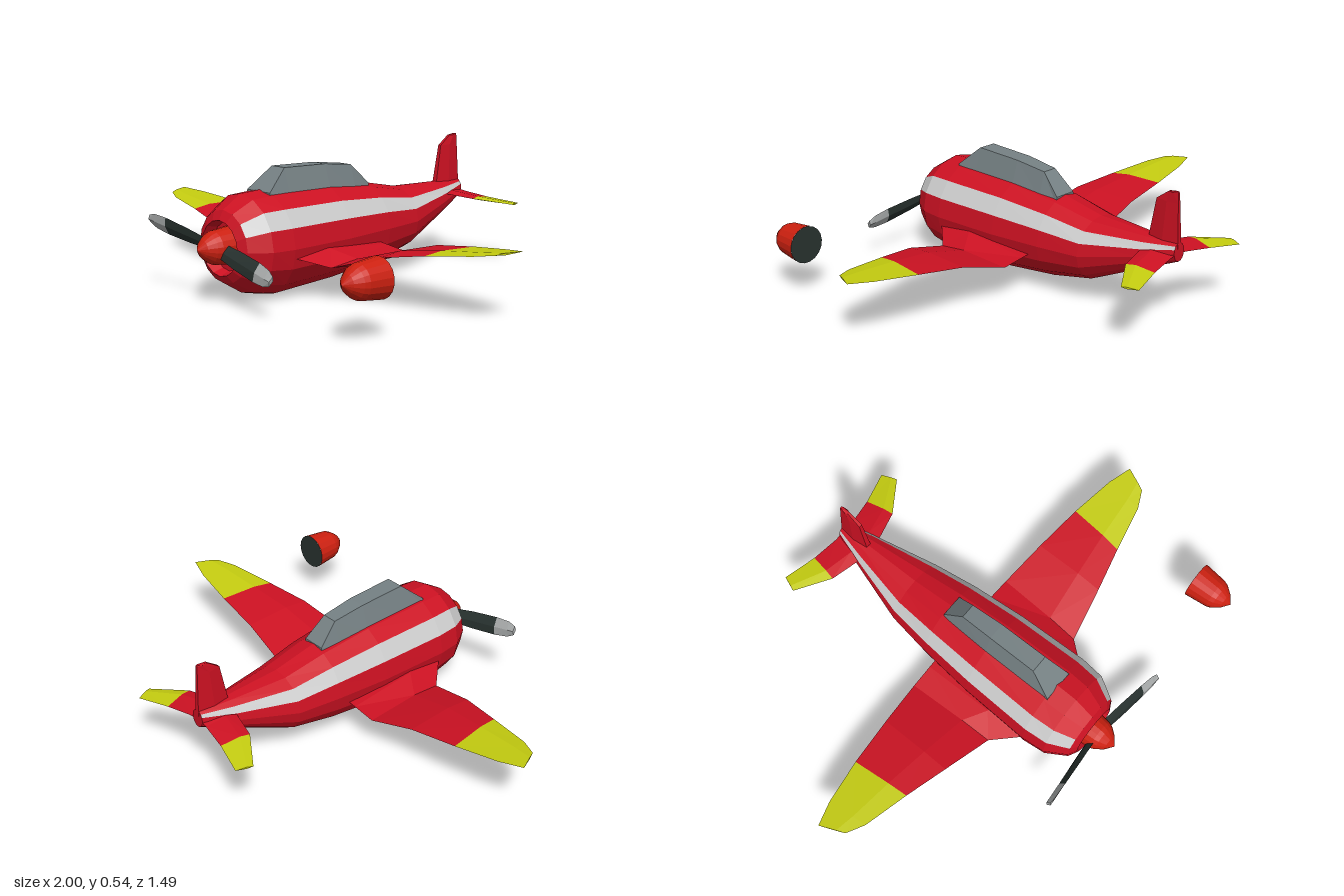
import * as THREE from 'three';

const mat = (color) => new THREE.MeshStandardMaterial({ color, flatShading: true });
const RED = mat(0xcc1122), YELLOW = mat(0xc4cc10), STRIPE = mat(0xbebebe), GLASS = mat(0x758083);
const DARK = mat(0x28322f), TIP = mat(0xa8abab), SPINNER = mat(0xcc2010);

// Skins a list of equal-sized rings, caps both ends and turns faces outward.
// keep(station, side) selects faces; caps have side -1.
function loft(rings, keep = () => true) {
  const tris = [];
  const n = rings[0].length;
  const add = (a, b, c, kept) => tris.push({ p: [a, b, c].map((v) => new THREE.Vector3(...v)), kept });
  for (let i = 0; i < rings.length - 1; i++) {
    for (let j = 0; j < n; j++) {
      const k = (j + 1) % n, r = rings[i], s = rings[i + 1], kept = keep(i, j);
      add(r[j], s[j], r[k], kept);
      add(r[k], s[j], s[k], kept);
    }
  }
  const first = rings[0], last = rings[rings.length - 1];
  for (let j = 1; j < n - 1; j++) {
    add(first[0], first[j], first[j + 1], keep(0, -1));
    add(last[0], last[j + 1], last[j], keep(rings.length - 1, -1));
  }
  const volume = tris.reduce((sum, { p }) => sum + p[0].dot(p[1].clone().cross(p[2])), 0);
  const pos = [];
  for (const { p, kept } of tris) {
    if (!kept) continue;
    if (volume < 0) p.reverse();
    p.forEach((v) => pos.push(v.x, v.y, v.z));
  }
  const geo = new THREE.BufferGeometry();
  geo.setAttribute('position', new THREE.Float32BufferAttribute(pos, 3));
  geo.computeVertexNormals();
  return geo;
}

function part(parent, name, geo, material) {
  const mesh = new THREE.Mesh(geo, material);
  mesh.name = name;
  parent.add(mesh);
  return mesh;
}

// Thin surface section: leading edge, crown, trailing edge, belly.
// Station: xLead, zLead, yLead, xTrail, zTrail, yTrail, thickness
const foil = (side) => ([xl, zl, yl, xt, zt, yt, t]) => {
  const mid = (a, b) => a + (b - a) * 0.35;
  const x = side * mid(xl, xt), y = mid(yl, yt), z = mid(zl, zt);
  return [[side * xl, yl, zl], [x, y + t / 2, z], [side * xt, yt, zt], [x, y - t / 2, z]];
};

function makeSpinner(name) {
  const group = new THREE.Group();
  group.name = name;
  const profile = [[0.077, 0.565], [0.066, 0.665], [0.058, 0.685], [0.035, 0.715], [0, 0.742]];
  const shell = new THREE.LatheGeometry(profile.map(([r, h]) => new THREE.Vector2(r, h)), 18);
  part(group, 'spinnerShell', shell.rotateX(Math.PI / 2), SPINNER);
  const back = new THREE.CircleGeometry(0.077, 18).rotateY(Math.PI).translate(0, 0, 0.565);
  part(group, 'spinnerBack', back, DARK);
  group.position.y = 0.22;
  return group;
}

export function createModel() {
  const plane = new THREE.Group();
  plane.name = 'airplane';

  // Fuselage sections: z, middle y, top y, bottom y, half width
  const sections = [
    [0.59, 0.215, 0.31, 0.12, 0.095],
    [0.635, 0.213, 0.322, 0.105, 0.108],
    [0.615, 0.213, 0.36, 0.075, 0.145],
    [0.53, 0.21, 0.413, 0.025, 0.195],
    [0.43, 0.21, 0.418, 0.004, 0.205],
    [0.125, 0.212, 0.414, 0.023, 0.193],
    [-0.11, 0.217, 0.39, 0.05, 0.172],
    [-0.3, 0.22, 0.353, 0.09, 0.145],
    [-0.55, 0.27, 0.347, 0.205, 0.075],
    [-0.69, 0.308, 0.345, 0.268, 0.03],
  ];
  const hull = sections.map(([z, mid, top, bottom, w]) => Array.from({ length: 16 }, (_, j) => {
    const a = (j * Math.PI) / 8, s = Math.sin(a);
    return [w * Math.cos(a), mid + s * (s > 0 ? top - mid : mid - bottom), z];
  }));
  const onStripe = (i, j) => i >= 2 && (j === 1 || j === 6);
  part(plane, 'fuselage', loft(hull, (i, j) => !onStripe(i, j)), RED);
  part(plane, 'sideStripes', loft(hull, onStripe), STRIPE);

  // Canopy: z, base y, base half width, top y, top half width
  const canopy = [
    [0.44, 0.385, 0.072, 0.412, 0.068],
    [0.34, 0.385, 0.072, 0.498, 0.038],
    [0.125, 0.385, 0.07, 0.492, 0.037],
    [-0.02, 0.37, 0.062, 0.475, 0.032],
    [-0.105, 0.36, 0.052, 0.392, 0.048],
  ].map(([z, yb, wb, yt, wt]) => [[wb, yb, z], [wt, yt, z], [-wt, yt, z], [-wb, yb, z]]);
  part(plane, 'canopy', loft(canopy), GLASS);

  const wing = [
    [0.12, 0.5, 0.185, 0.12, -0.06, 0.175, 0.05],
    [0.2, 0.415, 0.17, 0.2, -0.06, 0.165, 0.045],
    [0.283, 0.32, 0.135, 0.3, -0.06, 0.152, 0.025],
    [0.5, 0.275, 0.202, 0.5, -0.037, 0.208, 0.02],
    [0.685, 0.23, 0.23, 0.71, -0.014, 0.236, 0.017],
    [0.88, 0.187, 0.252, 0.9, 0.018, 0.258, 0.012],
    [0.955, 0.15, 0.262, 1.0, 0.05, 0.27, 0.008],
  ];
  const tail = [
    [0.02, -0.53, 0.3, 0.02, -0.69, 0.3, 0.022],
    [0.07, -0.555, 0.297, 0.05, -0.69, 0.295, 0.02],
    [0.19, -0.588, 0.287, 0.167, -0.71, 0.28, 0.016],
    [0.33, -0.685, 0.267, 0.305, -0.75, 0.265, 0.008],
  ];
  for (const [label, side] of [['left', 1], ['right', -1]]) {
    const w = wing.map(foil(side)), t = tail.map(foil(side));
    part(plane, label + 'Wing', loft(w.slice(0, 5)), RED);
    part(plane, label + 'WingTip', loft(w.slice(4)), YELLOW);
    part(plane, label + 'Tailplane', loft(t.slice(0, 3)), RED);
    part(plane, label + 'TailplaneTip', loft(t.slice(2)), YELLOW);
  }

  // Fin sections: y, front z, back z, half thickness
  const fin = [
    [0.32, -0.546, -0.692, 0.02],
    [0.5, -0.58, -0.683, 0.012],
    [0.54, -0.635, -0.681, 0.009],
    [0.545, -0.662, -0.68, 0.006],
  ].map(([y, zf, zb, t]) => [[t * 0.6, y, zf], [t, y, (zf + zb) / 2], [t * 0.5, y, zb],
    [-t * 0.5, y, zb], [-t, y, (zf + zb) / 2], [-t * 0.6, y, zf]]);
  part(plane, 'fin', loft(fin), RED);

  // Propeller blade sections: radius, width, z, twist depth
  const blade = [
    [0.04, 0.05, 0.655, 0.014],
    [0.15, 0.066, 0.667, 0.014],
    [0.275, 0.072, 0.68, 0.012],
    [0.34, 0.062, 0.687, 0.01],
    [0.372, 0.036, 0.69, 0.006],
  ].map(([r, w, z, t]) => [[r, w / 2, z - t], [r, 0, z + 0.01], [r, -w / 2, z + t], [r, 0, z - 0.01]]);
  const propeller = new THREE.Group();
  propeller.name = 'propeller';
  for (let i = 0; i < 2; i++) {
    const arm = new THREE.Group();
    arm.name = 'propellerBlade';
    part(arm, 'blade', loft(blade.slice(0, 3)), DARK);
    part(arm, 'bladeTip', loft(blade.slice(2)), TIP);
    arm.rotation.z = i * Math.PI;
    propeller.add(arm);
  }
  propeller.position.y = 0.22;
  propeller.rotation.z = -0.18;
  plane.add(propeller);

  // Nose spinner and the loose spare beside the wing
  const spare = makeSpinner('spareSpinner');
  spare.position.x = 0.79;
  plane.add(makeSpinner('noseSpinner'), spare);

  return plane;
}
